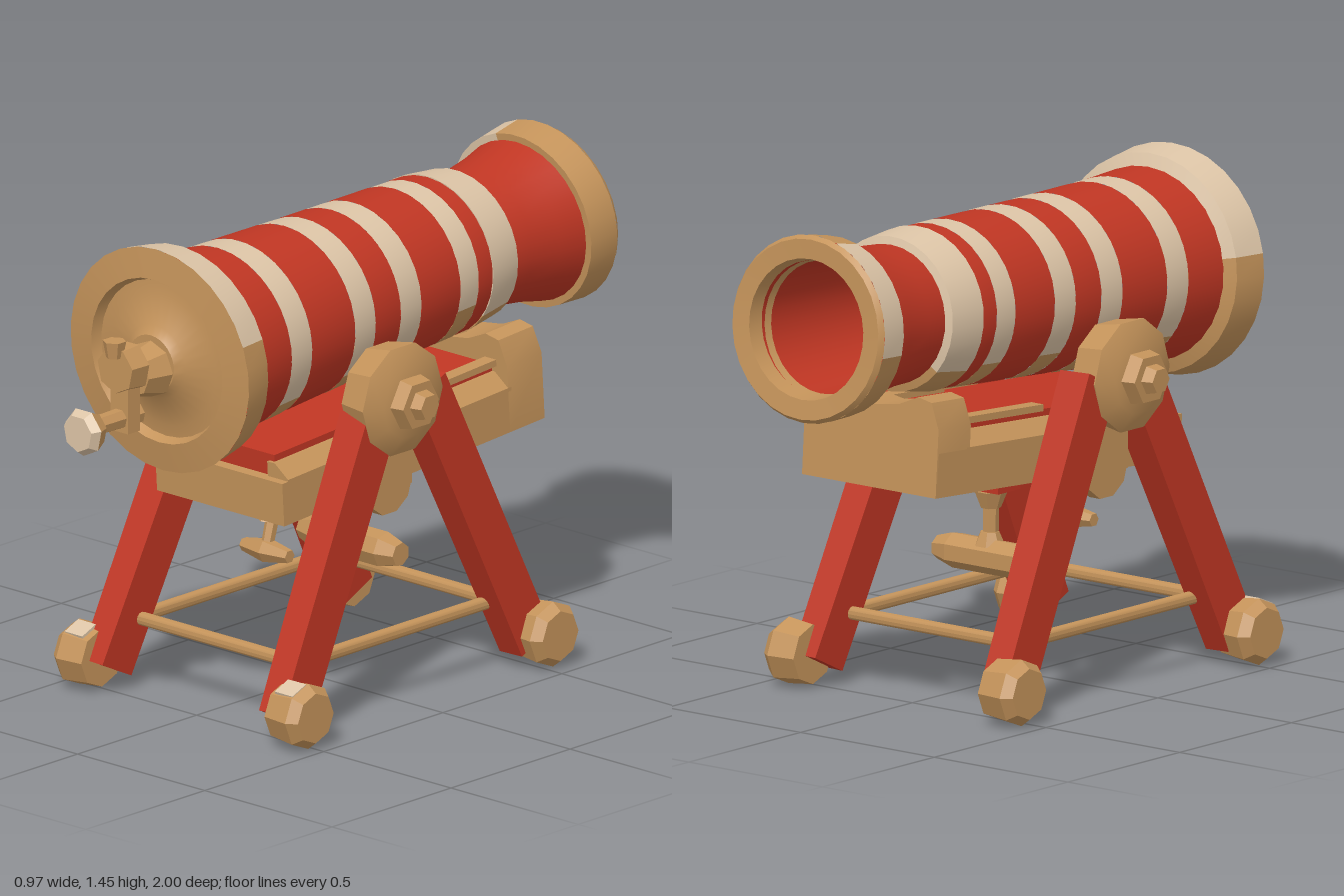
import * as THREE from 'three';
import { toCreasedNormals } from 'three/addons/utils/BufferGeometryUtils.js';

const flat = (name, color) => {
  const m = new THREE.MeshStandardMaterial({ color });
  m.name = name;
  return m;
};

export function createModel() {
  const model = new THREE.Group();
  model.name = 'cannon';
  const red = flat('red paint', 0xc03623);
  const tan = flat('tan wood', 0xc4935a);
  const cream = flat('cream paint', 0xdcc4a6);

  const add = (name, geo, mat, parent = model, pos = [0, 0, 0]) => {
    const mesh = new THREE.Mesh(toCreasedNormals(geo, 0.6), mat);
    mesh.name = name;
    mesh.position.set(...pos);
    parent.add(mesh);
    return mesh;
  };
  const box = (name, size, pos, mat, parent) =>
    add(name, new THREE.BoxGeometry(...size), mat, parent, pos);
  // Faceted round part along one axis; r1 is the radius at the positive end
  const round = (name, axis, r0, r1, len, pos, sides, mat, parent) => {
    const g = new THREE.CylinderGeometry(r1, r0, len, sides);
    if (axis === 'x') g.rotateZ(-Math.PI / 2);
    if (axis === 'z') g.rotateX(Math.PI / 2);
    return add(name, g, mat, parent, pos);
  };
  // Lays a geometry that is upright on y between two points
  const between = (name, a, b, makeGeo, mat) => {
    const A = new THREE.Vector3(...a), B = new THREE.Vector3(...b);
    const dir = B.clone().sub(A);
    const mesh = add(name, makeGeo(dir.length()), mat);
    const y = dir.normalize();
    const z = new THREE.Vector3().crossVectors(
      Math.abs(y.x) > 0.9 ? new THREE.Vector3(0, 0, 1) : new THREE.Vector3(1, 0, 0), y).normalize();
    const x = new THREE.Vector3().crossVectors(y, z);
    mesh.quaternion.setFromRotationMatrix(new THREE.Matrix4().makeBasis(x, y, z));
    mesh.position.copy(A.add(B).multiplyScalar(0.5));
    return mesh;
  };

  // ---- Barrel: local y runs from breech to muzzle, local z is up ----
  const barrel = new THREE.Group();
  barrel.name = 'barrel';
  barrel.position.set(0, 1.136, 0);
  barrel.rotation.x = -(Math.PI / 2 - 0.044);
  barrel.scale.x = 1.04;
  model.add(barrel);
  const DEG = Math.PI / 180;
  const lathe = (name, pts, mat, from = 0, to = 360, parent = barrel) => add(name,
    new THREE.LatheGeometry(pts.map(p => new THREE.Vector2(p[0], p[1])),
      Math.round((to - from) / 12), from * DEG, (to - from) * DEG), mat, parent);
  // Cream on the upper arc, bare wood underneath
  const twoTone = (name, pts, left, right) => {
    lathe(name + 'Top', pts, cream, -right, left);
    lathe(name + 'Underside', pts, tan, left, 360 - right);
  };

  const profile = [[-0.58, 0.286], [-0.4, 0.27], [0, 0.253], [0.48, 0.238]];
  const radius = s => {
    let i = 0;
    while (i < profile.length - 2 && s > profile[i + 1][0]) i++;
    const [a, b] = [profile[i], profile[i + 1]];
    return THREE.MathUtils.mapLinear(s, a[0], b[0], a[1], b[1]);
  };
  // Alternating bands
  const edges = [-0.58, -0.4, -0.31, -0.12, -0.03, 0.08, 0.17, 0.34, 0.42, 0.48];
  for (let i = 0; i < edges.length - 1; i++) {
    const pts = [edges[i], edges[i + 1]].map(s => [radius(s), s]);
    if (i % 2) twoTone('stripe', pts, i === 7 ? 110 : 127, 127);
    else lathe('redBand', pts, red);
  }
  twoTone('collar', [[0.22, 0.48], [0.241, 0.48], [0.226, 0.6], [0.19, 0.61]], 126, 130);
  lathe('neck', [[0.203, 0.6], [0.207, 0.68], [0.222, 0.78], [0.246, 0.88]], red);
  lathe('bore', [[0.197, 0.93], [0.18, 0.4], [0, 0.4]], red);

  // Muzzle ring, leaning back slightly more than the barrel
  const muzzle = new THREE.Group();
  muzzle.name = 'muzzle';
  muzzle.position.y = 0.922;
  muzzle.rotation.x = 0.05;
  barrel.add(muzzle);
  const rim = [[0.23, -0.056], [0.263, -0.056], [0.273, 0.042]];
  lathe('muzzleRing', rim, tan, -17, 260, muzzle);
  lathe('muzzleRingPaint', rim, cream, -100, -17, muzzle);
  lathe('muzzleFace', [[0.273, 0.042], [0.262, 0.058], [0.205, 0.054], [0.193, -0.03]],
    tan, 0, 360, muzzle);

  // Breech: outer band and dished back
  twoTone('breechBand', [[0.337, -0.655], [0.32, -0.555], [0.28, -0.54]], 71, 79);
  lathe('breechBack', [[0, -0.69], [0.085, -0.69], [0.11, -0.668], [0.2, -0.642], [0.236, -0.638],
    [0.248, -0.668], [0.337, -0.655]], tan);

  // ---- Crank on the breech ----
  const crank = new THREE.Group();
  crank.name = 'crank';
  model.add(crank);
  round('crankHub', 'z', 0.085, 0.065, 0.08, [0, 1.09, 0.73], 8, tan, crank);
  round('crankNut', 'z', 0.076, 0.07, 0.065, [0, 1.12, 0.81], 7, tan, crank);
  box('crankArm', [0.07, 0.2, 0.05], [0, 1.03, 0.8], tan, crank);
  round('crankPin', 'y', 0.025, 0.035, 0.05, [0, 1.185, 0.845], 6, tan, crank);
  round('crankHandle', 'z', 0.032, 0.028, 0.2, [0, 0.97, 0.85], 7, tan, crank);
  round('crankGrip', 'z', 0.05, 0.072, 0.045, [0, 0.965, 0.952], 7, tan, crank);
  round('crankGripEnd', 'z', 0.072, 0.055, 0.025, [0, 0.965, 0.987], 7, cream, crank);

  // ---- Tilted tray under the barrel ----
  const tray = new THREE.Group();
  tray.name = 'tray';
  tray.position.set(0, 0.635, -0.145);
  tray.rotation.x = 0.065;
  model.add(tray);
  box('trayBody', [0.5, 0.13, 1.09], [0, 0.065, 0], tan, tray);
  box('redBed', [0.38, 0.07, 0.94], [0, 0.16, 0.04], red, tray);
  // Side rails with a sloping outer face
  const railShape = new THREE.Shape();
  railShape.moveTo(0.17, 0.12).lineTo(0.25, 0.12).lineTo(0.25, 0.135).lineTo(0.2, 0.175)
    .lineTo(0.17, 0.175).closePath();
  for (const s of [-1, 1]) {
    const rail = new THREE.ExtrudeGeometry(railShape, { depth: 0.94, bevelEnabled: false });
    // Half turn carries the rail to the other side
    if (s < 0) rail.rotateY(Math.PI).translate(0, 0, 0.94);
    add('rail', rail, tan, tray, [0, 0, -0.42]);
    box('railCap', [0.045, 0.02, 0.38], [s * 0.185, 0.203, -0.22], tan, tray);
  }
  // Notched cradle below the neck
  const notch = new THREE.Shape();
  notch.moveTo(-0.25, 0).lineTo(0.25, 0).lineTo(0.25, 0.2).lineTo(0.22, 0.275).lineTo(0.17, 0.285)
    .lineTo(0.1, 0.255).lineTo(0, 0.24).lineTo(-0.1, 0.255).lineTo(-0.17, 0.285)
    .lineTo(-0.22, 0.275).lineTo(-0.25, 0.2).closePath();
  add('cradle', new THREE.ExtrudeGeometry(notch, { depth: 0.145, bevelEnabled: false }),
    tan, tray, [0, 0, -0.551]);

  // ---- Elevating screw and small bolt under the tray ----
  box('screwBlock', [0.14, 0.08, 0.1], [0, 0.61, -0.15], red);
  round('screwTop', 'y', 0.03, 0.05, 0.05, [0, 0.54, -0.15], 7, tan);
  round('screwShaft', 'y', 0.022, 0.026, 0.2, [0, 0.48, -0.15], 7, tan);
  round('screwCollar', 'y', 0.045, 0.028, 0.04, [0, 0.425, -0.155], 7, tan);
  for (const s of [-1, 1]) {
    round('screwBar', 'x', 0.053, 0.053, 0.13, [s * 0.065, 0.373, -0.155], 7, tan);
    round('screwBarEnd', 'x', s > 0 ? 0.053 : 0.035, s > 0 ? 0.035 : 0.053, 0.06,
      [s * 0.16, 0.373, -0.155], 7, tan);
  }
  between('boltShaft', [0, 0.42, 0.21], [0, 0.63, 0.15],
    l => new THREE.CylinderGeometry(0.022, 0.018, l, 6), tan);
  round('boltNut', 'y', 0.05, 0.025, 0.04, [0, 0.54, 0.18], 6, tan);
  for (const s of [-1, 1])
    round('boltKnob', 'x', s > 0 ? 0.036 : 0.02, s > 0 ? 0.02 : 0.036, 0.09,
      [s * 0.045, 0.428, 0.205], 6, tan);

  // ---- Trunnions, legs and feet ----
  for (const s of [-1, 1]) {
    const hub = new THREE.Group();
    hub.name = s > 0 ? 'leftTrunnion' : 'rightTrunnion';
    hub.position.set(0, 0.925, 0.035);
    if (s < 0) hub.rotation.y = Math.PI;
    model.add(hub);
    round('hubDisc', 'x', 0.15, 0.168, 0.1, [0.325, 0, 0], 10, tan, hub);
    round('hubStep', 'x', 0.168, 0.11, 0.03, [0.39, 0, 0], 10, tan, hub);
    round('hubNut', 'x', 0.085, 0.075, 0.045, [0.425, 0, 0], 6, tan, hub);
    round('hubBolt', 'x', 0.048, 0.038, 0.04, [0.463, 0, 0], 6, tan, hub);

    // Hanging tab with a rounded foot
    box('tab', [0.04, 0.28, 0.19], [s * 0.28, 0.77, 0.01], tan);
    round('tabEnd', 'x', 0.095, 0.095, 0.04, [s * 0.28, 0.65, 0.01], 10, tan);

    for (const e of [-1, 1]) {
      between('leg', [s * 0.316, 0.93, e * 0.09], [s * 0.352, 0.07, e * 0.505],
        l => {
          const g = new THREE.BoxGeometry(0.108, l, 0.135);
          const p = g.attributes.position;
          // Slim the top end
          for (let i = 0; i < p.count; i++) if (p.getY(i) > 0) p.setX(i, p.getX(i) * 0.82);
          return g;
        }, red);
      // Rear feet sit slightly further in
      const x = e > 0 ? 0.405 : 0.39, z = e > 0 ? 0.512 : -0.532;
      round('foot', 'x', s > 0 ? 0.088 : 0.098, s > 0 ? 0.098 : 0.088, 0.09,
        [s * x, 0.098, z], 8, tan);
      round('footCap', 'x', s > 0 ? 0.098 : 0.075, s > 0 ? 0.075 : 0.098, 0.03,
        [s * (x + 0.06), 0.098, z], 8, tan);
    }
    // Paint patch on the upper facet of the front foot
    const tilt = Math.PI / 8;
    box('footPaint', [0.07, 0.008, 0.062],
      [s * 0.413, 0.098 + 0.089 * Math.cos(tilt), 0.512 + 0.089 * Math.sin(tilt)], cream)
      .rotation.x = tilt;
  }

  // ---- Stretcher rods joining the legs ----
  const rod = l => new THREE.CylinderGeometry(0.02, 0.02, l, 12);
  for (const s of [-1, 1]) {
    between('sideRod', [s * 0.32, 0.205, -0.41], [s * 0.32, 0.205, 0.41], rod, tan);
    between('crossRod', [-0.33, 0.205, s * 0.41], [0.33, 0.205, s * 0.41], rod, tan);
  }
  return model;
}
